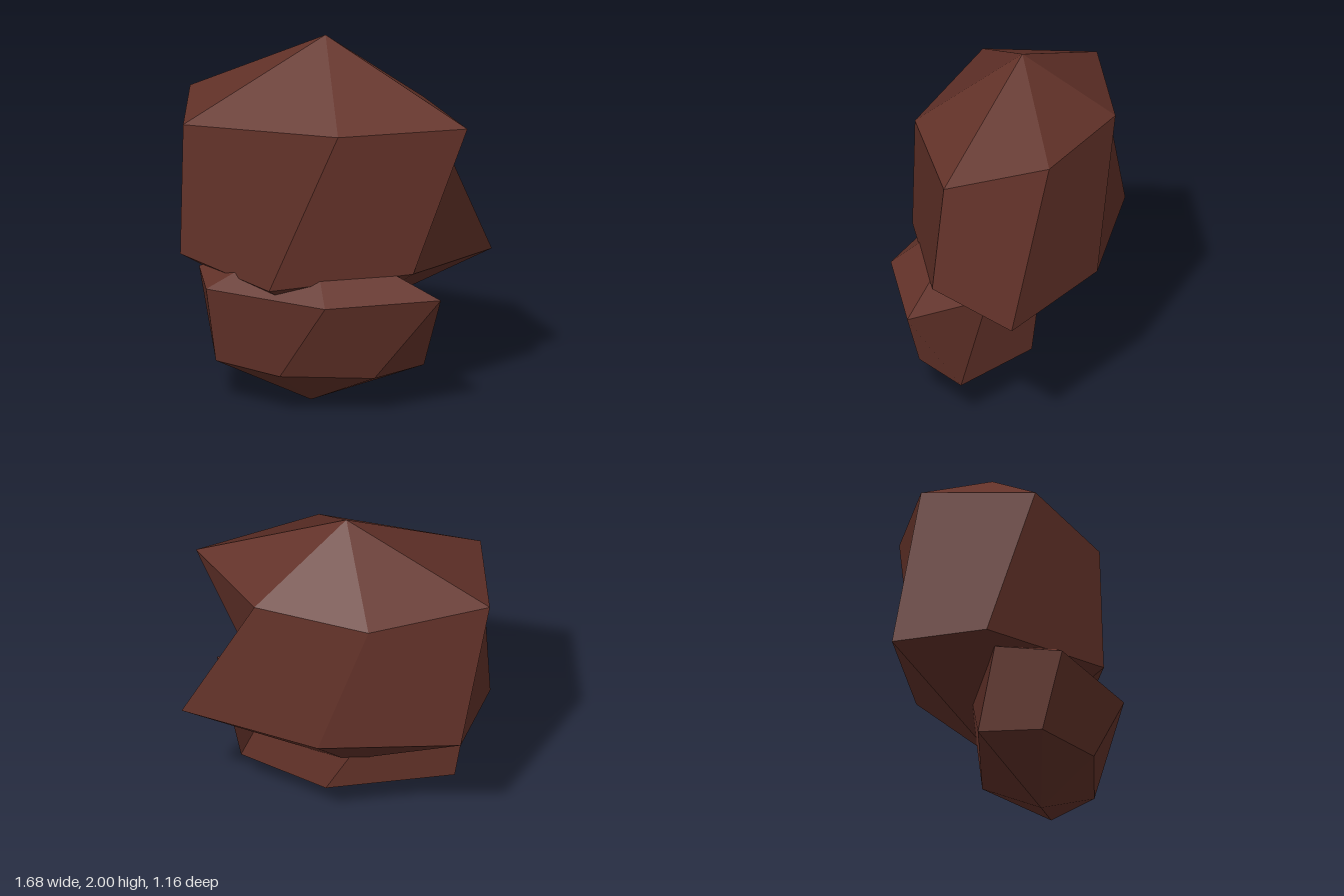
import * as THREE from 'three';

const V = (p) => new THREE.Vector3(...p);

// Faceted boulder: two six-sided rings closed by a point at each end.
// Each face keeps a single flat normal, even where a four-sided face is twisted.
function boulder(name, material, { top, upper, lower, bottom, flip }) {
  const positions = [], normals = [];
  const addFace = (normal, ...triangles) => {
    normal.normalize();
    for (const p of triangles.flat()) {
      positions.push(p.x, p.y, p.z);
      normals.push(normal.x, normal.y, normal.z);
    }
  };
  const cross = (a, b, c, d) => b.clone().sub(a).cross(d.clone().sub(c));

  const T = V(top), B = V(bottom), U = upper.map(V), L = lower.map(V);
  const n = U.length;
  for (let i = 0; i < n; i++) {
    const j = (i + 1) % n;
    const [A, C, a, c] = [U[i], U[j], L[i], L[j]];
    // crown facet
    addFace(cross(T, A, T, C), [T, A, C]);
    // side facet, split along one diagonal
    const side = cross(A, c, a, C);
    if (flip) addFace(side, [A, a, C], [a, c, C]);
    else addFace(side, [A, a, c], [A, c, C]);
    // underside facet
    addFace(cross(B, c, B, a), [B, c, a]);
  }

  const geometry = new THREE.BufferGeometry();
  geometry.setAttribute('position', new THREE.Float32BufferAttribute(positions, 3));
  geometry.setAttribute('normal', new THREE.Float32BufferAttribute(normals, 3));
  const mesh = new THREE.Mesh(geometry, material);
  mesh.name = name;
  return mesh;
}

export function createModel() {
  const group = new THREE.Group();
  group.name = 'stackedRocks';
  const brown = new THREE.MeshStandardMaterial({ color: 0x633229 });
  brown.name = 'reddish brown';

  // Large rock on top
  group.add(boulder('upperRock', brown, {
    top: [-0.03, 2, -0.11],
    upper: [
      [-0.70, 1.57, 0.36], [0.20, 1.60, 0.43], [0.82, 1.585, -0.0 + 0.04],
      [0.43, 1.59, -0.43], [-0.22, 1.60, -0.58], [-0.84, 1.595, -0.25],
    ],
    lower: [
      [-0.79, 0.745, 0.11], [-0.15, 0.73, 0.57], [0.56, 0.78, 0.20],
      [0.84, 0.78, -0.36], [0.06, 0.77, -0.575], [-0.71, 0.79, -0.46],
    ],
    bottom: [-0.03, 0.34, -0.10],
    flip: true,
  }));

  // Smaller rock underneath, shifted to the front
  group.add(boulder('lowerRock', brown, {
    top: [-0.03, 0.98, 0.17],
    upper: [
      [-0.54, 0.675, 0.46], [0.17, 0.66, 0.58], [0.74, 0.67, 0.28],
      [0.39, 0.67, -0.06], [-0.20, 0.67, -0.18], [-0.68, 0.69, 0.12],
    ],
    lower: [
      [-0.52, 0.23, 0.34], [-0.11, 0.225, 0.50], [0.38, 0.21, 0.34],
      [0.57, 0.21, 0.03], [0.07, 0.21, -0.20], [-0.61, 0.225, 0.0],
    ],
    bottom: [-0.03, 0, 0.17],
    flip: false,
  }));

  return group;
}
